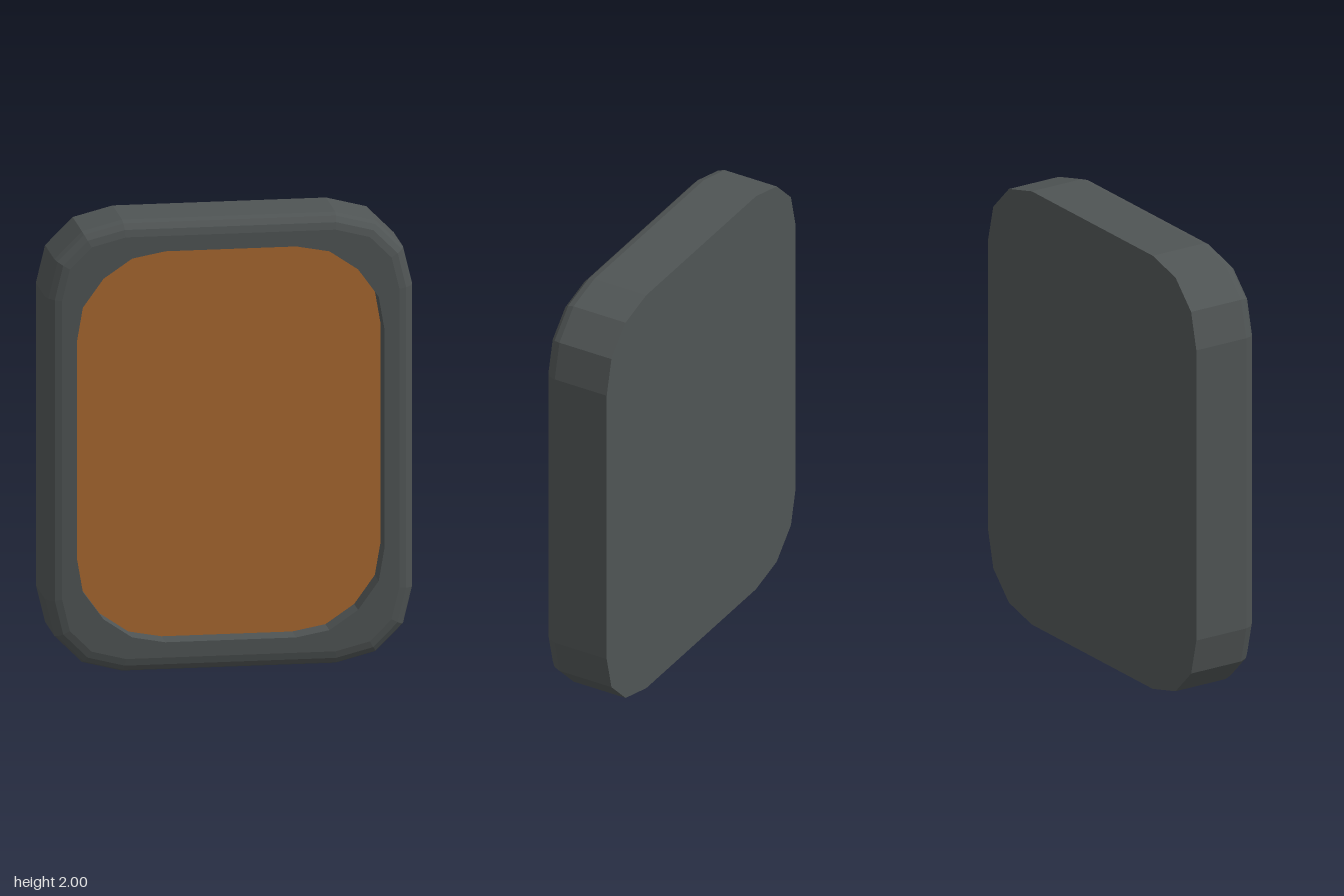
import * as THREE from 'three';

// Quarter outlines about the panel centre, running from the +x side up to the top
const OUTER = [[0.8, 0.67], [0.76, 0.835], [0.64, 0.955], [0.465, 1]];
const INNER = [[0.67, 0.485], [0.645, 0.63], [0.555, 0.755], [0.43, 0.84], [0.285, 0.867]];
const BACK = -0.16, FRONT = 0.16, FLOOR = 0.05;

// Mirrors a quarter into a closed counter-clockwise outline
function outline(q) {
  const r = [...q].reverse();
  return [
    ...q,
    ...r.map(([x, y]) => [-x, y]),
    ...q.map(([x, y]) => [-x, -y]),
    ...r.map(([x, y]) => [x, -y]),
  ].map(([x, y]) => new THREE.Vector2(x, y));
}

// Moves every edge inward by d with mitred corners
function inset(points, d) {
  const n = points.length;
  const normal = (a, b) => new THREE.Vector2(a.y - b.y, b.x - a.x).normalize();
  return points.map((p, i) => {
    const n1 = normal(points[(i + n - 1) % n], p);
    const n2 = normal(p, points[(i + 1) % n]);
    const m = n1.clone().add(n2);
    return p.clone().addScaledVector(m, d / (1 + n1.dot(n2)));
  });
}

// Flat-faced skin through successive { points, z } loops
function skin(loops) {
  const pos = [];
  for (let k = 0; k + 1 < loops.length; k++) {
    const a = loops[k], b = loops[k + 1], n = a.points.length;
    const put = (l, i) => pos.push(l.points[i % n].x, l.points[i % n].y, l.z);
    for (let i = 0; i < n; i++) {
      put(a, i); put(a, i + 1); put(b, i + 1);
      put(a, i); put(b, i + 1); put(b, i);
    }
  }
  const g = new THREE.BufferGeometry();
  g.setAttribute('position', new THREE.Float32BufferAttribute(pos, 3));
  g.computeVertexNormals();
  return g;
}

export function createModel() {
  const casing = new THREE.MeshStandardMaterial({ color: 0x4f5454 });
  casing.name = 'dark grey casing';
  const amber = new THREE.MeshStandardMaterial({ color: 0xa8672f });
  amber.name = 'amber panel';

  const model = new THREE.Group();
  model.name = 'framedPanel';
  const add = (name, geometry, material) => {
    const mesh = new THREE.Mesh(geometry, material);
    mesh.name = name;
    mesh.position.y = 1;
    model.add(mesh);
    return mesh;
  };

  const outer = outline(OUTER), inner = outline(INNER);
  const rim = inset(outer, 0.065);

  // Straight sides with a rounded front edge
  add('sideWall', skin([
    { points: outer, z: BACK },
    { points: outer, z: 0.1 },
    { points: inset(outer, 0.01), z: 0.13 },
    { points: inset(outer, 0.034), z: 0.152 },
    { points: rim, z: FRONT },
  ]), casing);

  // Flat front border around the opening
  const border = new THREE.Shape(rim);
  border.holes.push(new THREE.Path(inner));
  add('frontBorder', new THREE.ShapeGeometry(border), casing).position.z = FRONT;

  // Recess wall and the coloured panel at its bottom
  add('recessWall', skin([{ points: inner, z: FRONT }, { points: inner, z: FLOOR }]), casing);
  add('panel', new THREE.ShapeGeometry(new THREE.Shape(inner)), amber).position.z = FLOOR;

  // Closed back
  const back = add('backPlate', new THREE.ShapeGeometry(new THREE.Shape(outer)), casing);
  back.rotation.y = Math.PI;
  back.position.z = BACK;

  return model;
}
